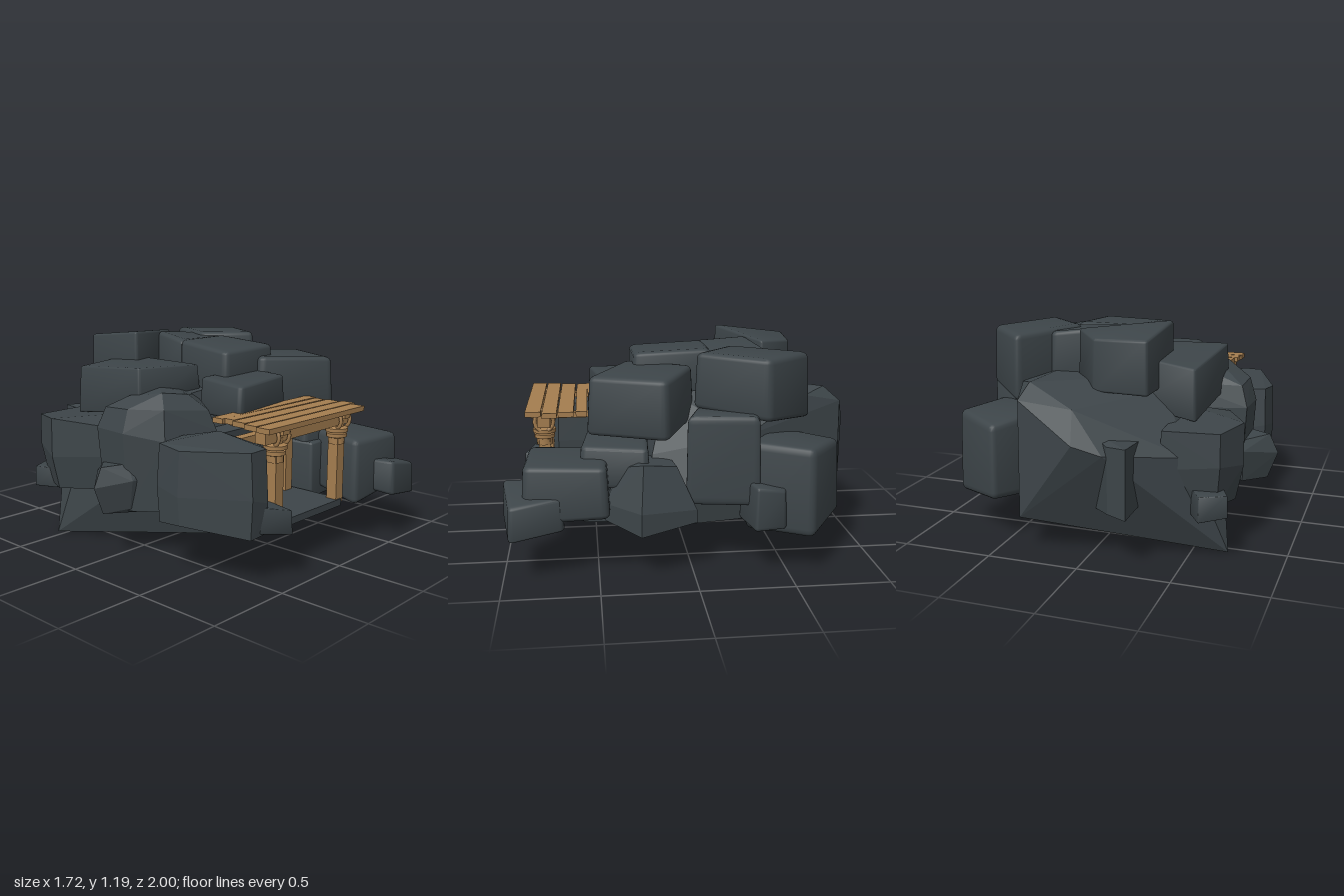
import * as THREE from 'three';
import { mergeVertices, toCreasedNormals } from 'three/addons/utils/BufferGeometryUtils.js';
import { RoundedBoxGeometry } from 'three/addons/geometries/RoundedBoxGeometry.js';
import { ConvexGeometry } from 'three/addons/geometries/ConvexGeometry.js';

const stone = new THREE.MeshStandardMaterial({ color: 0x3d4549 });
stone.name = 'slate stone';
const wood = new THREE.MeshStandardMaterial({ color: 0xa47d4f });
wood.name = 'warm wood';

function add(parent, name, geometry, material, x = 0, y = 0, z = 0) {
  const mesh = new THREE.Mesh(geometry, material);
  mesh.name = name;
  mesh.position.set(x, y, z);
  parent.add(mesh);
  return mesh;
}

// Rounded block warped onto a four-corner footprint (clockwise from above, [x, z]).
// tops / bottoms give the height at each corner; taper shrinks the upper face.
function block(parent, name, foot, bottoms, tops, taper = 0.92, radius = 0.09) {
  let geo = new RoundedBoxGeometry(1, 1, 1, 2, radius);
  geo.deleteAttribute('normal');
  geo.deleteAttribute('uv');
  geo = mergeVertices(geo, 1e-4);
  const cx = foot.reduce((s, p) => s + p[0], 0) / 4;
  const cz = foot.reduce((s, p) => s + p[1], 0) / 4;
  const lo = [].concat(bottoms), hi = [].concat(tops);
  const pos = geo.attributes.position;
  for (let i = 0; i < pos.count; i++) {
    const u = pos.getX(i) + 0.5, t = pos.getY(i) + 0.5, v = pos.getZ(i) + 0.5;
    const w = [(1 - u) * (1 - v), u * (1 - v), u * v, (1 - u) * v];
    let x = 0, z = 0, y = 0;
    w.forEach((k, j) => {
      x += k * foot[j][0];
      z += k * foot[j][1];
      y += k * ((1 - t) * lo[j % lo.length] + t * hi[j % hi.length]);
    });
    const s = 1 + (taper - 1) * t;
    pos.setXYZ(i, cx + (x - cx) * s, y, cz + (z - cz) * s);
  }
  return add(parent, name, toCreasedNormals(geo, 0.7), stone);
}

// Faceted boulder: a convex skin around scaled copies of a footprint, [height, scale].
function boulder(parent, name, foot, rings) {
  const cx = foot.reduce((s, p) => s + p[0], 0) / foot.length;
  const cz = foot.reduce((s, p) => s + p[1], 0) / foot.length;
  const points = [];
  rings.forEach(([y, s], r) => foot.forEach(([x, z], i) => points.push(new THREE.Vector3(
    cx + (x - cx) * s, y + 0.02 * Math.sin(i * 2.4 + r * 1.7), cz + (z - cz) * s))));
  return add(parent, name, new ConvexGeometry(points), stone);
}

function createModel() {
  const model = new THREE.Group();
  model.name = 'rockyMineEntrance';
  const rocks = new THREE.Group();
  rocks.name = 'rockPile';
  const porch = new THREE.Group();
  porch.name = 'timberPorch';
  model.add(rocks, porch);

  // Large core with a slanted underside
  const core = [
    [-0.69, 0, -0.55], [-0.16, 0.06, 0.32], [0.69, 0.23, 0.24], [0.37, 0.19, -0.88],
    [-0.62, 0.45, -0.42], [-0.5, 0.55, -0.69], [-0.15, 0.7, -0.82], [-0.13, 0.6, -0.96],
    [0.02, 0.65, -1], [0.05, 0.81, -0.9], [0.36, 0.83, -0.88], [0.33, 0.91, -0.79], [0.43, 0.88, -0.66],
    [-0.3, 0.84, -0.45], [0.1, 0.9, -0.6], [0.3, 0.9, 0.1], [-0.28, 0.86, 0.12],
    [-0.42, 0.6, 0.22], [0.55, 0.6, 0.2], [0.6, 0.7, -0.3],
  ].map(p => new THREE.Vector3(...p));
  add(rocks, 'coreRock', new ConvexGeometry(core), stone);

  // Blocks on the left flank (+x)
  block(rocks, 'upperFrontBlock', [[0.34, -0.06], [0.74, 0.13], [0.55, 0.56], [0.12, 0.32]],
    [0.75, 0.71, 0.71, 0.78], [1.05, 1.03, 1.03, 1.05], 0.94);
  block(rocks, 'upperBackBlock', [[0.46, -0.69], [0.74, -0.4], [0.5, -0.02], [0.23, -0.25]],
    [0.76, 0.8, 0.84, 0.8], [1.13, 1.13, 1.14, 1.14], 0.95);
  block(rocks, 'flankBlock', [[0.6, -0.38], [0.77, -0.35], [0.71, 0.04], [0.46, -0.04]], 0.36, 0.84, 0.96);
  block(rocks, 'backFlankBlock', [[0.54, -0.85], [0.87, -0.62], [0.72, -0.27], [0.36, -0.5]],
    [0.25, 0.2, 0.22, 0.22], [0.66, 0.68, 0.7, 0.7], 0.93);
  block(rocks, 'smallFlankBlock', [[0.66, -0.52], [0.83, -0.48], [0.87, -0.31], [0.62, -0.26]],
    0.25, [0.47, 0.46, 0.49, 0.49], 0.92);
  block(rocks, 'porchSideBlock', [[0.41, 0.42], [0.81, 0.44], [0.74, 0.9], [0.31, 0.88]],
    [0.3, 0.33, 0.29, 0.23], [0.62, 0.6, 0.6, 0.61], 0.93);
  block(rocks, 'frontCornerBlock', [[0.48, 0.72], [0.77, 0.67], [0.83, 0.96], [0.5, 1.01]],
    [0.3, 0.26, 0.22, 0.28], [0.47, 0.44, 0.41, 0.48], 0.94);
  boulder(rocks, 'lowFlankBoulder',
    [[0.45, 0.02], [0.74, -0.02], [0.85, 0.28], [0.66, 0.46], [0.4, 0.44]],
    [[0.26, 1], [0.36, 1], [0.58, 0.6]]);
  block(rocks, 'entranceSlab', [[0.35, 0.2], [0.72, 0.22], [0.62, 0.6], [0.27, 0.55]],
    0.45, [0.7, 0.67, 0.67, 0.7], 0.92);
  block(rocks, 'entranceFootBlock', [[0.24, 0.1], [0.6, 0.08], [0.56, 0.58], [0.28, 0.6]],
    0.23, 0.56, 0.97, 0.04);

  // Crown blocks
  block(rocks, 'lintelBlock', [[-0.2, 0.14], [0.2, 0.22], [0.2, 0.46], [-0.28, 0.53]],
    [0.74, 0.78, 0.78, 0.77], [0.96, 0.97, 0.96, 0.95], 0.95);
  block(rocks, 'crownFrontBlock', [[-0.06, -0.17], [0.33, -0.16], [0.31, 0.29], [-0.13, 0.29]],
    0.85, [1.13, 1.13, 1.11, 1.1], 0.95);
  block(rocks, 'crownMiddleBlock', [[0.0, -0.4], [0.35, -0.48], [0.5, -0.17], [-0.08, -0.1]],
    0.85, [1.16, 1.12, 1.11, 1.13], 0.96);
  block(rocks, 'crownBackBlock', [[-0.28, -0.69], [0.03, -0.66], [0.19, -0.46], [-0.3, -0.25]],
    [0.85, 0.85, 0.88, 0.85], [1.14, 1.13, 1.15, 1.19], 0.97, 0.05);
  block(rocks, 'crownSideBlock', [[-0.5, -0.56], [-0.14, -0.5], [-0.1, 0.08], [-0.55, 0.03]],
    [0.7, 0.75, 0.82, 0.78], [0.98, 1.02, 1.01, 1.03], 0.95, 0.04);

  // Faceted boulders on the right flank (-x) and back
  boulder(rocks, 'shoulderBoulder',
    [[-0.69, -0.16], [-0.25, -0.15], [-0.08, 0.05], [-0.27, 0.35], [-0.58, 0.26], [-0.7, 0.06]],
    [[0.27, 0.9], [0.68, 1], [0.82, 0.86], [0.89, 0.5]]);
  boulder(rocks, 'porchSideBoulder',
    [[-0.71, 0.33], [-0.48, 0.28], [-0.35, 0.44], [-0.33, 0.72], [-0.46, 0.87], [-0.58, 0.87], [-0.73, 0.5]],
    [[0.27, 0.96], [0.45, 1], [0.7, 0.95]]);
  block(rocks, 'porchFootBlock', [[-0.52, 0.7], [-0.31, 0.72], [-0.34, 0.94], [-0.53, 0.85]],
    [0.26, 0.25, 0.25, 0.28], [0.4, 0.39, 0.38, 0.42], 0.96, 0.04);
  boulder(rocks, 'spurBoulder',
    [[-0.68, -0.18], [-0.5, -0.1], [-0.52, 0.14], [-0.68, 0.11], [-0.85, -0.01]],
    [[0.26, 0.72], [0.43, 1], [0.51, 0.75]]);
  boulder(rocks, 'backSideBoulder',
    [[-0.67, -0.71], [-0.36, -0.73], [-0.36, -0.25], [-0.6, -0.17], [-0.75, -0.5]],
    [[0.29, 0.8], [0.5, 1], [0.7, 0.98]]);
  block(rocks, 'backChipBlock', [[-0.72, -0.72], [-0.58, -0.79], [-0.5, -0.66], [-0.66, -0.58]],
    [0.26, 0.24, 0.24, 0.26], 0.38, 0.95, 0.04);
  boulder(rocks, 'backShardBoulder',
    [[-0.26, -0.98], [-0.15, -0.95], [0.02, -0.76], [-0.27, -0.7]],
    [[0.28, 0.95], [0.46, 0.75], [0.66, 1]]);

  // Cave back wall and floor
  add(rocks, 'caveWall', new THREE.BoxGeometry(0.57, 0.53, 0.22), stone, -0.025, 0.395, 0.22);
  add(rocks, 'caveFloor', new THREE.BoxGeometry(0.57, 0.04, 0.5), stone, -0.025, 0.26, 0.57);

  // Inner door frame
  for (const x of [-0.232, 0.197]) {
    add(porch, 'innerPost', new THREE.BoxGeometry(0.06, 0.36, 0.05), wood, x, 0.45, 0.47);
  }
  add(porch, 'innerLintel', new THREE.BoxGeometry(0.46, 0.045, 0.06), wood, -0.015, 0.645, 0.48);

  // Front posts with ringed collars, and straps round the beam
  for (const x of [-0.298, 0.252]) {
    add(porch, 'frontPost', new THREE.BoxGeometry(0.065, 0.44, 0.065), wood, x, 0.48, 0.78);
    const collar = [[0, 0.6], [0.045, 0.6], [0.045, 0.635], [0.058, 0.64], [0.058, 0.66],
      [0.045, 0.665], [0.064, 0.67], [0.064, 0.69], [0.04, 0.7], [0.04, 0.73], [0, 0.73]]
      .map(p => new THREE.Vector2(...p));
    add(porch, 'postCollar', toCreasedNormals(new THREE.LatheGeometry(collar, 14), 0.6), wood, x, 0, 0.78);
    for (const dx of [-0.035, 0.05]) {
      const strap = add(porch, 'beamStrap', new THREE.TorusGeometry(0.052, 0.011, 6, 14), wood, x + dx, 0.735, 0.78);
      strap.rotation.y = Math.PI / 2;
    }
    add(porch, 'roofRail', new THREE.BoxGeometry(0.05, 0.03, 0.36), wood, x, 0.765, 0.67);
  }
  add(porch, 'frontBeam', new THREE.BoxGeometry(0.76, 0.07, 0.07), wood, -0.04, 0.745, 0.78);

  // Roof planks: centre x, z, length, depth, twist
  [[-0.015, 0.495, 0.83, 0.07, 0.01], [-0.015, 0.568, 0.79, 0.062, -0.01], [-0.02, 0.652, 0.82, 0.084, -0.015],
    [-0.02, 0.742, 0.86, 0.08, -0.012], [-0.045, 0.832, 0.83, 0.085, -0.012]].forEach(([x, z, w, d, a]) => {
    add(porch, 'roofPlank', new THREE.BoxGeometry(w, 0.028, d), wood, x, 0.793, z).rotation.y = a;
  });

  return model;
}

export { createModel };
